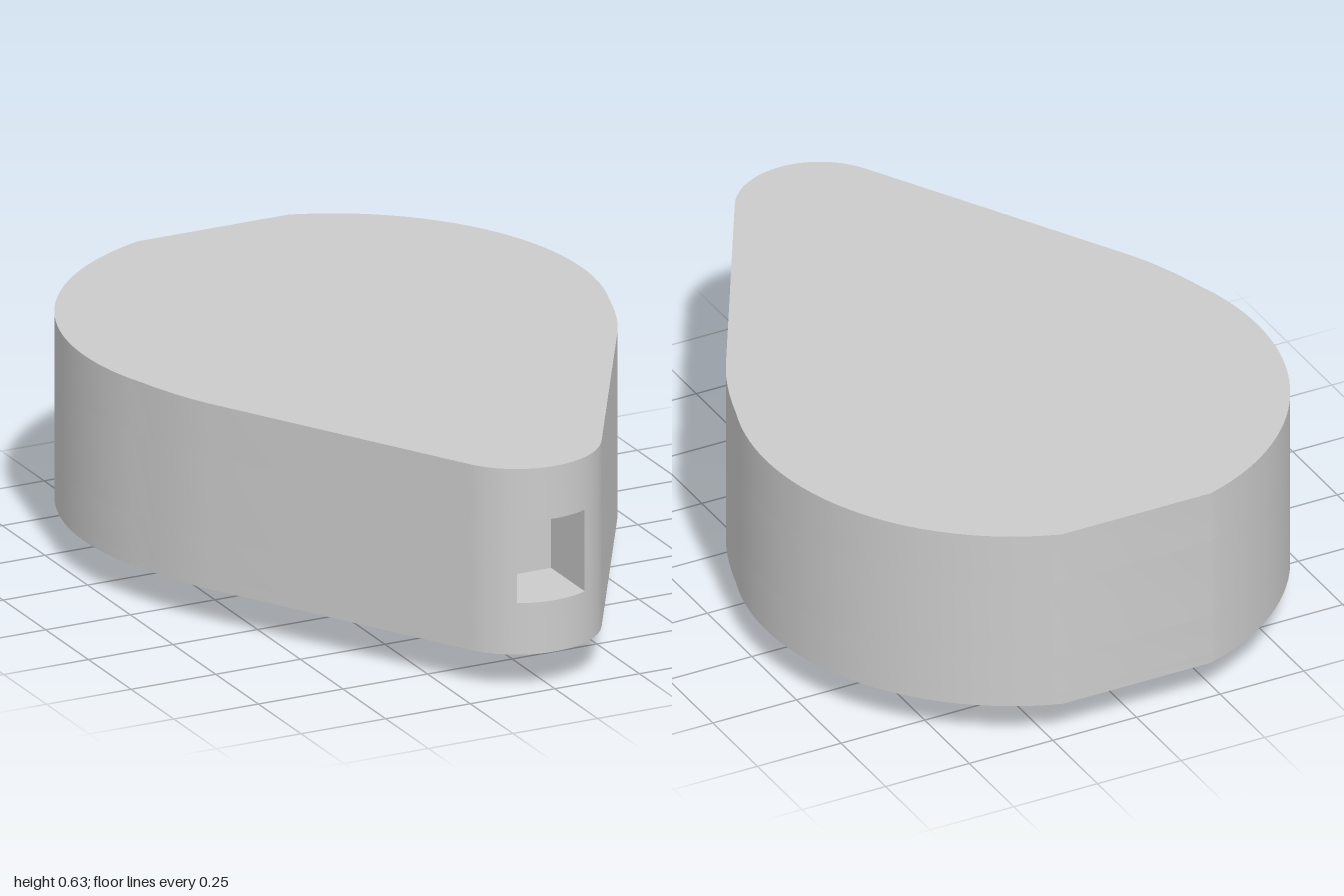
import * as THREE from 'three';
import { toCreasedNormals } from 'three/addons/utils/BufferGeometryUtils.js';

const material = new THREE.MeshStandardMaterial({ color: 0xcccccc });
const doubleSided = new THREE.MeshStandardMaterial({ color: 0xcccccc, side: THREE.DoubleSide });

const BOTTOM = 0.105, PLATE = 0.135, WIN_LOW = 0.25, WIN_HIGH = 0.48, TOP = 0.628;

function add(group, name, geometry, mat = material) {
  const mesh = new THREE.Mesh(geometry, mat);
  mesh.name = name;
  group.add(mesh);
  return mesh;
}

// Left half of the teardrop, from the flat back to the front tip, as (x, z)
function halfOutline() {
  const pts = [];
  const a0 = Math.atan2(-0.7, 0.222), a1 = Math.asin(0.25 / 0.735);
  for (let i = 0; i <= 32; i++) {
    const a = a0 + (a1 - a0) * i / 32;
    pts.push(new THREE.Vector2(0.735 * Math.cos(a), -0.3 + 0.735 * Math.sin(a)));
  }
  const shoulder = new THREE.QuadraticBezierCurve(
    pts[pts.length - 1], new THREE.Vector2(0.652, 0.09), new THREE.Vector2(0.59, 0.195));
  pts.push(...shoulder.getPoints(6).slice(1));
  for (let i = 0; i <= 16; i++) {
    const a = Math.PI / 6 + (Math.PI / 3) * i / 16;
    pts.push(new THREE.Vector2(0.225 * Math.cos(a), 0.775 + 0.225 * Math.sin(a)));
  }
  return pts;
}

// Full plan shape; a notch leaves room for the front window
function planShape(notched) {
  let half = halfOutline();
  if (notched) {
    half = half.filter(p => p.y < 0.5 || p.x > 0.1);
    half.push(new THREE.Vector2(0.1, 0.976), new THREE.Vector2(0.1, 0.78));
  } else {
    half.pop();
    half.push(new THREE.Vector2(0.0001, 1));
  }
  const mirrored = half.map(p => new THREE.Vector2(-p.x, p.y)).reverse();
  return new THREE.Shape([...half, ...mirrored].map(p => new THREE.Vector2(p.x, -p.y)));
}

function band(group, name, shape, y0, y1) {
  const geo = new THREE.ExtrudeGeometry(shape, { depth: y1 - y0, bevelEnabled: false, curveSegments: 32 });
  geo.rotateX(-Math.PI / 2).translate(0, y0, 0);
  add(group, name, toCreasedNormals(geo, 0.45));
}

function cavityHole() {
  return new THREE.Path([[-0.18, 0.07], [0.18, 0.07], [0.18, 0.47], [-0.18, 0.47]]
    .map(([x, z]) => new THREE.Vector2(x, -z)));
}

// Prism from a (z, y) side profile, centred on x
function sideProfile(points, width) {
  const shape = new THREE.Shape(points.map(([z, y]) => new THREE.Vector2(-z, y)));
  const geo = new THREE.ExtrudeGeometry(shape, { depth: width, bevelEnabled: false });
  return geo.translate(0, 0, -width / 2).rotateY(Math.PI / 2);
}

export function createModel() {
  const model = new THREE.Group();
  model.name = 'teardropHousing';

  // Housing in stacked layers, with the window and the underside opening cut out
  const body = new THREE.Group();
  body.name = 'body';
  model.add(body);
  const plate = planShape(false);
  plate.holes.push(new THREE.Path().absarc(0, -0.27, 0.2, 0, Math.PI * 2, true));
  band(body, 'bottomPlate', plate, BOTTOM, PLATE);
  const lower = planShape(false);
  lower.holes.push(cavityHole());
  band(body, 'lowerBody', lower, PLATE, WIN_LOW);
  const middle = planShape(true);
  middle.holes.push(cavityHole());
  band(body, 'windowBody', middle, WIN_LOW, WIN_HIGH);
  band(body, 'upperBody', planShape(false), WIN_HIGH, TOP);

  // Sloping ceiling inside the round opening
  const ramp = add(model, 'openingRamp', new THREE.PlaneGeometry(0.36, Math.hypot(0.35, 0.345)), doubleSided);
  ramp.position.set(0, (PLATE + WIN_HIGH) / 2, 0.295);
  ramp.rotation.x = -Math.atan2(0.35, 0.345);

  // Bracket under the base: wide block with a narrower wedge tongue
  const bracket = new THREE.Group();
  bracket.name = 'bracket';
  model.add(bracket);
  add(bracket, 'bracketBlock', sideProfile(
    [[-0.245, 0.11], [-0.245, 0.045], [-0.375, 0.045], [-0.44, 0.11]], 0.51));
  add(bracket, 'bracketTongue', sideProfile(
    [[-0.32, 0.05], [-0.32, 0.005], [-0.33, 0], [-0.34, 0.01], [-0.38, 0.05]], 0.385));

  // Four pins along the sloped face
  for (const x of [-0.15, -0.05, 0.05, 0.15]) {
    const pin = add(bracket, 'pin', new THREE.CylinderGeometry(0.012, 0.012, 0.01, 16));
    pin.position.set(x, 0.057, -0.387);
    pin.rotation.x = -Math.PI * 0.75;
  }

  // Fine ribs on the base between the bracket and the opening
  for (let i = 0; i < 14; i++) {
    const t = i / 13;
    const rib = add(model, 'baseRib', new THREE.BoxGeometry(0.12, 0.008, 0.008));
    rib.position.set(0.22 - 0.19 * t, BOTTOM, -0.3 + 0.34 * t);
    rib.rotation.y = -0.5;
  }
  return model;
}
